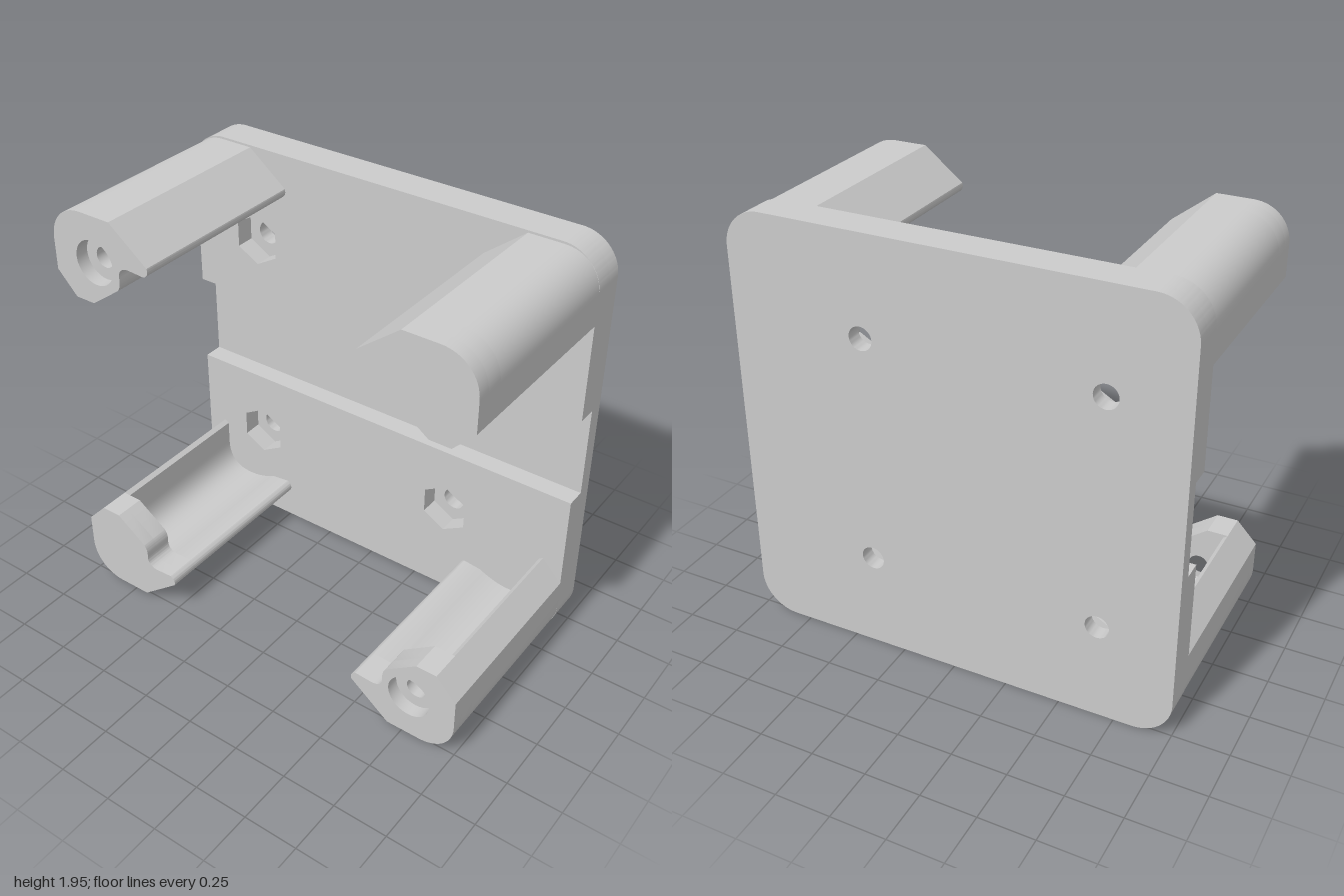
import * as THREE from 'three';
import { toCreasedNormals } from 'three/addons/utils/BufferGeometryUtils.js';

const H = 1.95, BACK = -0.52, FLOOR = -0.45, FACE = -0.36, FRONT = 0.52;
const material = new THREE.MeshStandardMaterial({ color: 0xcccccc });

function circle(x, y, r) {
  return new THREE.Path().absarc(x, y, r, 0, Math.PI * 2, true);
}

function hexagon(x, y, r) {
  const pts = [];
  for (let i = 0; i < 6; i++) {
    const a = Math.PI / 2 - (i * Math.PI) / 3;
    pts.push(new THREE.Vector2(x + r * Math.cos(a), y + r * Math.sin(a)));
  }
  return new THREE.Path(pts);
}

// Extrudes a shape between two z positions
function slab(name, shape, z0, z1) {
  const geo = new THREE.ExtrudeGeometry(shape, { depth: z1 - z0, bevelEnabled: false, curveSegments: 16 });
  geo.translate(0, 0, z0);
  const mesh = new THREE.Mesh(toCreasedNormals(geo, 0.5), material);
  mesh.name = name;
  return mesh;
}

// Rectangle across the full width, with chosen ends rounded
function plateShape(y0, y1, roundBottom, roundTop) {
  const b = roundBottom ? 0.17 : 0, t = roundTop ? 0.17 : 0;
  const s = new THREE.Shape();
  s.moveTo(-1 + b, y0).lineTo(1 - b, y0);
  if (b) s.absarc(1 - b, y0 + b, b, -Math.PI / 2, 0, false);
  s.lineTo(1, y1 - t);
  if (t) s.absarc(1 - t, y1 - t, t, 0, Math.PI / 2, false);
  s.lineTo(-1 + t, y1);
  if (t) s.absarc(-1 + t, y1 - t, t, Math.PI / 2, Math.PI, false);
  s.lineTo(-1, y0 + b);
  if (b) s.absarc(-1 + b, y0 + b, b, Math.PI, Math.PI * 1.5, false);
  return s;
}

// Post sections: u runs inward from the side, v inward from the top or bottom edge
function postShape(sx, top, solid) {
  const p = (u, v) => [sx * (1 - u), top ? H - v : v];
  const s = new THREE.Shape();
  s.moveTo(...p(0, 0.315));
  s.lineTo(...p(0.095, 0.415));
  if (solid) {
    s.lineTo(...p(0.19, 0.415));
    s.lineTo(...p(0.335, 0.31));
    s.quadraticCurveTo(...p(0.355, 0.285), ...p(0.35, 0.245));
    s.quadraticCurveTo(...p(0.35, 0.2), ...p(0.4, 0.195));
  } else {
    // Hollowed channel behind the screw boss
    s.lineTo(...p(0.115, 0.4));
    s.lineTo(...p(0.115, 0.29));
    s.quadraticCurveTo(...p(0.115, 0.15), ...p(0.25, 0.15));
    s.quadraticCurveTo(...p(0.32, 0.15), ...p(0.4, 0.19));
  }
  s.lineTo(...p(0.485, 0.2));
  s.quadraticCurveTo(...p(0.515, 0.185), ...p(0.505, 0.155));
  s.lineTo(...p(0.32, 0.01));
  s.lineTo(...p(0.165, 0.01));
  s.bezierCurveTo(...p(0.07, 0.01), ...p(0, 0.08), ...p(0, 0.175));
  s.closePath();
  return s;
}

function createPost(sx, top) {
  const post = new THREE.Group();
  post.name = (top ? 'upper' : 'lower') + (sx > 0 ? 'Left' : 'Right') + 'Post';
  const x = sx * 0.78, y = top ? H - 0.22 : 0.22;
  const counterbore = postShape(sx, top, true);
  counterbore.holes.push(circle(x, y, 0.1));
  const boss = postShape(sx, top, true);
  boss.holes.push(circle(x, y, 0.046));
  post.add(
    slab('postShell', postShape(sx, top, false), FACE - 0.01, FRONT - 0.14),
    slab('screwBoss', boss, FRONT - 0.14, FRONT - 0.06),
    slab('counterbore', counterbore, FRONT - 0.06, FRONT)
  );
  return post;
}

export function createModel() {
  const model = new THREE.Group();
  model.name = 'bracket';
  const holeX = [-0.66, 0.39], holeY = [0.45, 1.5];

  // Back plate with four bolt holes
  const back = plateShape(0, H, true, true);
  for (const x of holeX) for (const y of holeY) back.holes.push(circle(x, y, 0.053));
  model.add(slab('backPlate', back, BACK, FLOOR));

  // Raised pads either side of the groove, with hexagonal nut pockets
  const lower = plateShape(0, 0.765, true, false);
  const upper = plateShape(1.19, H, false, true);
  for (const x of holeX) {
    lower.holes.push(hexagon(x, holeY[0], 0.122));
    upper.holes.push(hexagon(x, holeY[1], 0.122));
  }
  model.add(slab('lowerPad', lower, FLOOR, FACE), slab('upperPad', upper, FLOOR, FACE));

  // Corner posts
  for (const sx of [-1, 1]) for (const top of [false, true]) model.add(createPost(sx, top));
  return model;
}
